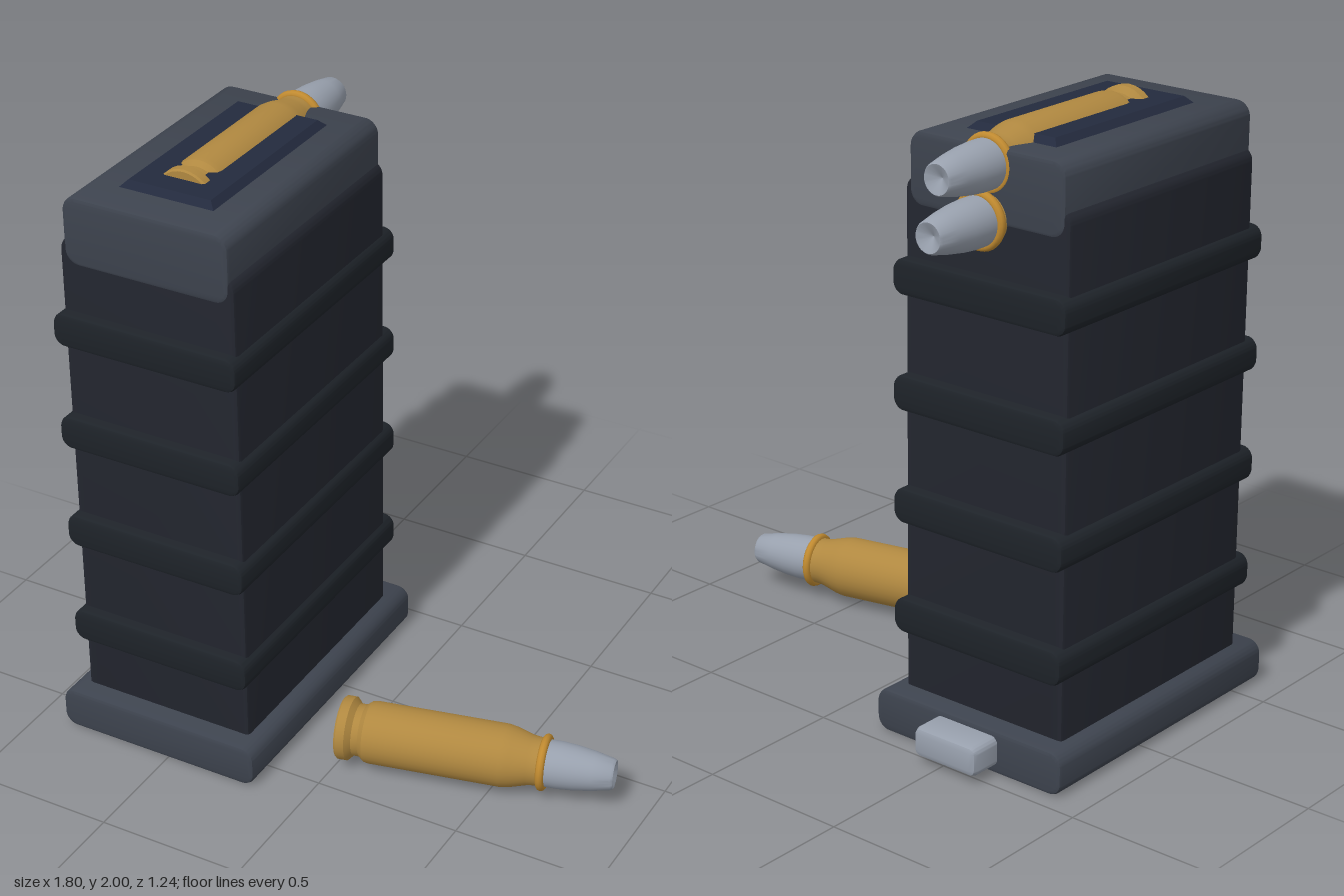
import * as THREE from 'three';
import { toCreasedNormals } from 'three/addons/utils/BufferGeometryUtils.js';

const mat = (color) => new THREE.MeshStandardMaterial({ color });
const bodyMat = mat(0x23262f);
const ribMat = mat(0x1e2329);
const trimMat = mat(0x3d434e);
const plateMat = mat(0x232a3d);
const brassMat = mat(0xb08840);
const ringMat = mat(0xc08a30);
const silverMat = mat(0x98a0ad);

// Block with a rounded front outline and finely bevelled front and back edges
function block(name, material, [x0, x1], [y0, y1], [z0, z1], radius, bevel = 0.012) {
  const w = x1 - x0 - 2 * bevel, h = y1 - y0 - 2 * bevel;
  const r = Math.max(radius - bevel, 0.002);
  const a = w / 2, b = h / 2;
  const s = new THREE.Shape();
  s.absarc(a - r, b - r, r, 0, Math.PI / 2);
  s.absarc(-a + r, b - r, r, Math.PI / 2, Math.PI);
  s.absarc(-a + r, -b + r, r, Math.PI, Math.PI * 1.5);
  s.absarc(a - r, -b + r, r, Math.PI * 1.5, Math.PI * 2);
  const depth = z1 - z0 - 2 * bevel;
  const geo = new THREE.ExtrudeGeometry(s, {
    depth, bevelEnabled: true, bevelSize: bevel, bevelThickness: bevel, bevelSegments: 2, curveSegments: 6,
  });
  geo.translate((x0 + x1) / 2, (y0 + y1) / 2, z0 + bevel);
  const mesh = new THREE.Mesh(toCreasedNormals(geo, 0.6), material);
  mesh.name = name;
  return mesh;
}

// Turned part; profile pairs are [radius, distance from the rim]
function turned(name, material, profile) {
  const geo = new THREE.LatheGeometry(profile.map(([r, t]) => new THREE.Vector2(r, t)), 32);
  const mesh = new THREE.Mesh(toCreasedNormals(geo, 0.5), material);
  mesh.name = name;
  return mesh;
}

// Cartridge with its rim at the group origin, pointing along -z before turning by yaw
function cartridge(name, x, y, z, yaw = 0) {
  const g = new THREE.Group();
  g.name = name;
  g.add(turned('case', brassMat, [
    [0, 0], [0.1, 0], [0.105, 0.006], [0.105, 0.035], [0.086, 0.053], [0.086, 0.075],
    [0.1, 0.092], [0.103, 0.11], [0.103, 0.545], [0.098, 0.575], [0.082, 0.63], [0.079, 0.65], [0.079, 0.69], [0, 0.69],
  ]));
  g.add(turned('bullet', silverMat, [
    [0.077, 0.67], [0.077, 0.73], [0.073, 0.78], [0.064, 0.84], [0.051, 0.9], [0.046, 0.907], [0.04, 0.905], [0, 0.88],
  ]));
  const ring = new THREE.Mesh(new THREE.TorusGeometry(0.079, 0.014, 10, 32), ringMat);
  ring.name = 'neckRing';
  ring.rotation.x = Math.PI / 2;
  ring.position.y = 0.677;
  g.add(ring);
  g.rotation.set(-Math.PI / 2, yaw, 0, 'YXZ');
  g.position.set(x, y, z);
  return g;
}

export function createModel() {
  const model = new THREE.Group();
  model.name = 'magazine';

  // Housing
  model.add(block('body', bodyMat, [-0.845, -0.23], [0.1, 1.81], [-0.36, 0.55], 0.045));
  model.add(block('collar', trimMat, [-0.828, -0.247], [1.72, 1.95], [-0.363, 0.553], 0.05));
  model.add(block('basePlate', trimMat, [-0.902, -0.173], [0.005, 0.147], [-0.437, 0.623], 0.045));
  model.add(block('latch', silverMat, [-0.66, -0.415], [0.03, 0.13], [-0.547, -0.38], 0.025, 0.022));

  // Grip ribs
  for (let i = 0; i < 4; i++) {
    const y = 0.4 + i * 0.3675;
    model.add(block('rib', ribMat, [-0.865, -0.212], [y - 0.057, y + 0.057], [-0.402, 0.588], 0.04));
  }

  // Chamfered plate in the top of the collar
  const plateShape = new THREE.Shape();
  plateShape.moveTo(-0.145, -0.315).lineTo(0.145, -0.315).lineTo(0.145, 0.315).lineTo(-0.145, 0.315).closePath();
  const plateGeo = new THREE.ExtrudeGeometry(plateShape, {
    depth: 0.03, bevelEnabled: true, bevelSize: 0.023, bevelThickness: 0.023, bevelSegments: 1,
  });
  plateGeo.rotateX(-Math.PI / 2);
  const plate = new THREE.Mesh(plateGeo, plateMat);
  plate.name = 'topPlate';
  plate.position.set(-0.538, 1.918, 0.087);
  model.add(plate);

  // Two loaded cartridges and one lying beside the base
  model.add(cartridge('topCartridge', -0.538, 1.896, 0.325));
  model.add(cartridge('secondCartridge', -0.538, 1.733, 0.288));
  model.add(cartridge('looseCartridge', 0, 0.13, 0.345, -1.349));

  return model;
}
